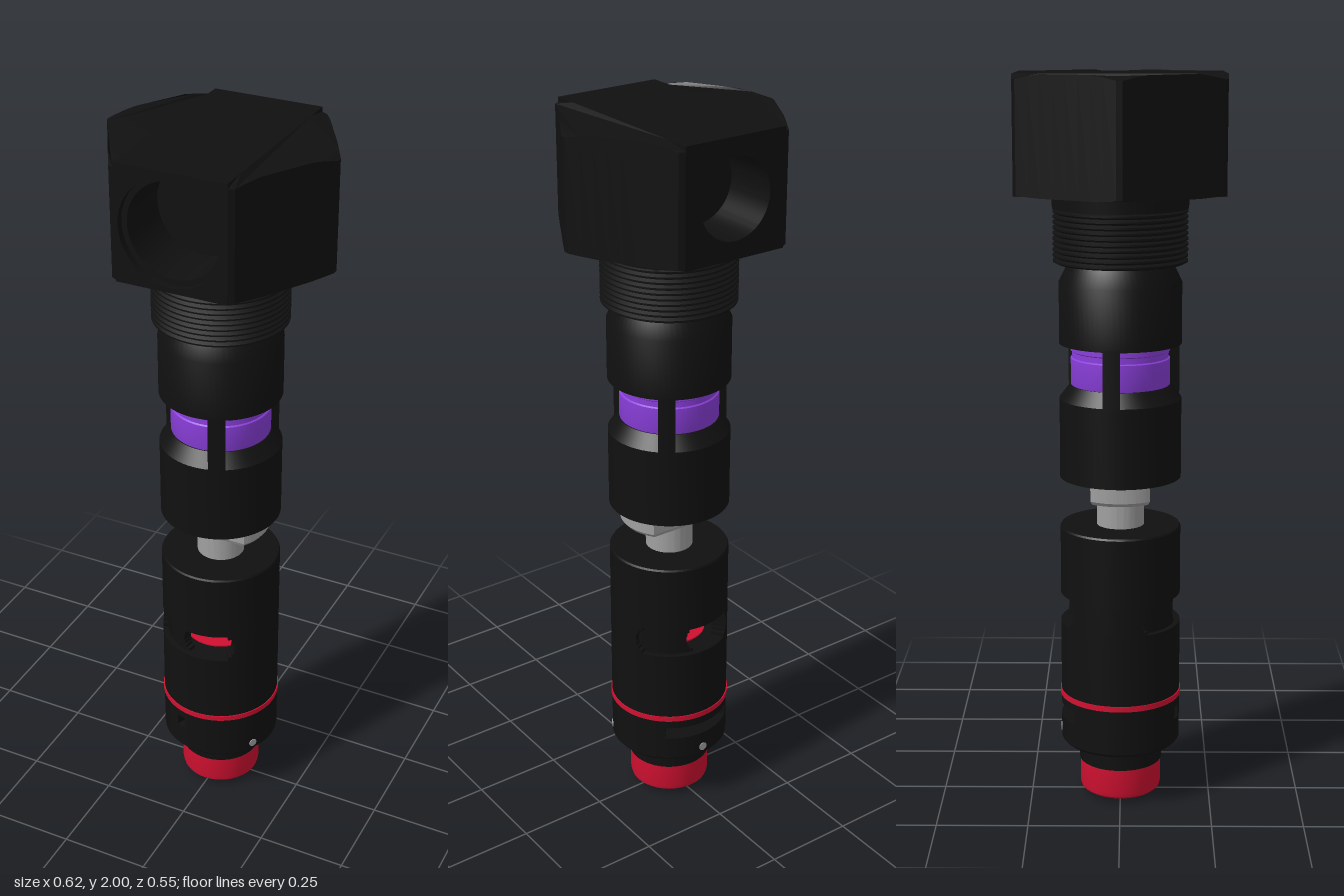
import * as THREE from 'three';
import { toCreasedNormals } from 'three/addons/utils/BufferGeometryUtils.js';

const paint = (name, color) => {
  const m = new THREE.MeshStandardMaterial({ color });
  m.name = name;
  return m;
};

export function createModel() {
  const group = new THREE.Group();
  const black = paint('black', 0x101010);
  const red = paint('red', 0xd01030);
  const purple = paint('purple', 0x8b3fdc);
  const silver = paint('silver', 0xa0a0a0);
  const rad = THREE.MathUtils.degToRad;

  const add = (name, geometry, material) => {
    const mesh = new THREE.Mesh(toCreasedNormals(geometry, 0.5), material);
    mesh.name = name;
    group.add(mesh);
    return mesh;
  };
  // Turned solid from [radius, y] pairs, bottom to top, closed on the axis
  const turned = (name, pairs, material) => {
    const pts = [[0, pairs[0][1]], ...pairs, [0, pairs[pairs.length - 1][1]]];
    return add(name, new THREE.LatheGeometry(pts.map(p => new THREE.Vector2(...p)), 64), material);
  };
  // Upright prism from a shape drawn in x and -z
  const prism = (shape, y0, y1) => new THREE.ExtrudeGeometry(shape, { depth: y1 - y0, bevelEnabled: false, curveSegments: 32 })
    .rotateX(-Math.PI / 2).translate(0, y0, 0);
  // Annular sector between two azimuths in degrees, measured from +z towards +x
  const sector = (name, rIn, rOut, a0, a1, y0, y1, material = black) => {
    const s = new THREE.Shape();
    s.absarc(0, 0, rOut, rad(a0 - 90), rad(a1 - 90), false);
    s.absarc(0, 0, rIn, rad(a1 - 90), rad(a0 - 90), true);
    s.closePath();
    return add(name, prism(s, y0, y1), material);
  };

  // Hexagonal head: slabs across the middle, with round pockets front and back
  const flat = 0.2735, half = 0.15, headY = 1.692;
  const slab = (name, z0, z1, hole) => {
    const s = new THREE.Shape();
    s.moveTo(-half, headY).lineTo(half, headY).lineTo(half, 2).lineTo(-half, 2).closePath();
    if (hole) s.holes.push(new THREE.Path().absarc(0, 1.845, hole, 0, Math.PI * 2, true));
    add(name, new THREE.ExtrudeGeometry(s, { depth: z1 - z0, bevelEnabled: false, curveSegments: 40 }).translate(0, 0, z0), black);
  };
  slab('headFrontRim', 0.255, flat, 0.14);
  slab('headFrontBore', 0.1, 0.255, 0.125);
  slab('headCore', -0.12, 0.1, 0);
  slab('headBackBore', -flat, -0.12, 0.105);

  // Pointed sides of the head, their top and bottom corners chamfered
  for (const side of [1, -1]) {
    const corners = [[half, -flat], [0.165, -0.265], [0.311, -0.008], [0.311, 0.008], [0.165, 0.265], [half, flat]];
    const pts = [];
    corners.forEach((c, i) => {
      const next = corners[(i + 1) % corners.length];
      const steps = Math.hypot(next[0] - c[0], next[1] - c[1]) > 0.1 ? 8 : 1;
      for (let k = 0; k < steps; k++) {
        const t = k / steps;
        pts.push(new THREE.Vector2(c[0] + (next[0] - c[0]) * t, c[1] + (next[1] - c[1]) * t));
      }
    });
    const geo = prism(new THREE.Shape(pts), headY, 2);
    const p = geo.attributes.position;
    for (let i = 0; i < p.count; i++) {
      const cut = Math.max(0, Math.hypot(p.getX(i), p.getZ(i)) - 0.285) * 0.5;
      p.setY(i, p.getY(i) > 1.9 ? p.getY(i) - cut : p.getY(i) + cut * 0.3);
    }
    if (side < 0) geo.rotateY(Math.PI);
    add(side > 0 ? 'headLeftSide' : 'headRightSide', geo, black);
  }

  // Threaded neck
  const thread = [];
  const turns = 10, pitch = 0.0145;
  for (let i = 0; i < turns; i++) {
    const y = 1.505 + i * pitch;
    thread.push([0.17, y], [0.18, y + pitch * 0.35], [0.18, y + pitch * 0.65]);
  }
  turned('threadedNeck', [...thread, [0.17, 1.65]], black);
  turned('neckCollar', [[0.181, 1.65], [0.184, 1.695]], black);

  // Upper body with three windows around a purple insert
  turned('upperBodyTop', [[0.165, 1.29], [0.165, 1.455], [0.14, 1.506]], black);
  turned('upperBodyBase', [[0.165, 0.922], [0.165, 1.14], [0.136, 1.178]], black);
  turned('purpleInsert', [[0.13, 1.17], [0.134, 1.18], [0.134, 1.25], [0.13, 1.253], [0.13, 1.268], [0.134, 1.271], [0.134, 1.29]], purple);
  for (const a of [22, 142, 262]) sector('windowPillar', 0.125, 0.165, a - 8, a + 8, 1.135, 1.295);

  // Two-flat nut and rod joining the bodies
  const nut = new THREE.Shape();
  const nutAngle = Math.asin(0.08 / 0.135);
  nut.absarc(0, 0, 0.135, -nutAngle, nutAngle, false);
  nut.absarc(0, 0, 0.135, Math.PI - nutAngle, Math.PI + nutAngle, false);
  nut.closePath();
  add('nut', prism(nut, 0.875, 0.924), silver);
  const nutEdge = prism(nut, 0.865, 0.875);
  const np = nutEdge.attributes.position;
  for (let i = 0; i < np.count; i++) {
    if (np.getY(i) < 0.87) np.setXYZ(i, np.getX(i) * 0.94, np.getY(i), np.getZ(i) * 0.94);
  }
  nutEdge.computeVertexNormals();
  add('nutChamfer', nutEdge, silver);
  turned('rod', [[0.065, 0.775], [0.065, 0.87]], silver);

  // Lower body with two rounded slots, opposite each other
  turned('lowerBodyTop', [[0.165, 0.592], [0.165, 0.78], [0.162, 0.785]], black);
  turned('lowerBodyMiddle', [[0.165, 0.31], [0.165, 0.51]], black);
  const layers = 8, slotY = 0.51, slotH = 0.082;
  for (let i = 0; i < layers; i++) {
    const y0 = slotY + slotH * i / layers, y1 = slotY + slotH * (i + 1) / layers;
    const u = (i + 0.5) / layers * 2 - 1;
    const inset = 14 * (1 - Math.sqrt(1 - u * u));
    for (const turn of [0, 180]) {
      sector('slotWall', 0.125, 0.165, 40 - inset + turn, 110 + inset + turn, y0, y1);
      sector('slotSleeve', 0.125, 0.15, -75 + turn, -17 + inset + turn, y0, y1);
    }
  }
  turned('slotFloor', [[0.1, 0.508], [0.1, 0.514]], red);
  turned('slotPin', [[0.016, 0.51], [0.016, 0.525]], silver);

  // Red band
  turned('redBand', [[0.168, 0.295], [0.168, 0.31]], red);

  // Base of the lower body with a wide back slot and a small front hole
  turned('baseUpper', [[0.165, 0.27], [0.165, 0.296]], black);
  sector('baseLeftWall', 0.12, 0.165, -13, 140, 0.235, 0.27);
  sector('baseRightWall', 0.12, 0.165, 220, 337, 0.235, 0.27);
  turned('baseShaft', [[0.05, 0.23], [0.05, 0.275]], red);
  turned('baseLower', [[0.158, 0.16], [0.165, 0.168], [0.165, 0.235]], black);
  for (const a of [60, 180]) {
    const screw = add('setScrew', new THREE.CylinderGeometry(0.012, 0.012, 0.008, 16).rotateX(Math.PI / 2), silver);
    screw.position.set(0.163 * Math.sin(rad(a)), 0.187, 0.163 * Math.cos(rad(a)));
    screw.rotation.y = rad(a);
  }

  // Red end knob with a screw underneath
  turned('knobNeck', [[0.115, 0.1], [0.115, 0.165]], black);
  turned('knob', [[0.1, 0.01], [0.11, 0.018], [0.113, 0.03], [0.113, 0.105]], red);
  turned('knobScrew', [[0.034, 0], [0.038, 0.004], [0.038, 0.015]], silver);
  turned('screwSocket', [[0.016, -0.001], [0.016, 0.004]], black);
  return group;
}
